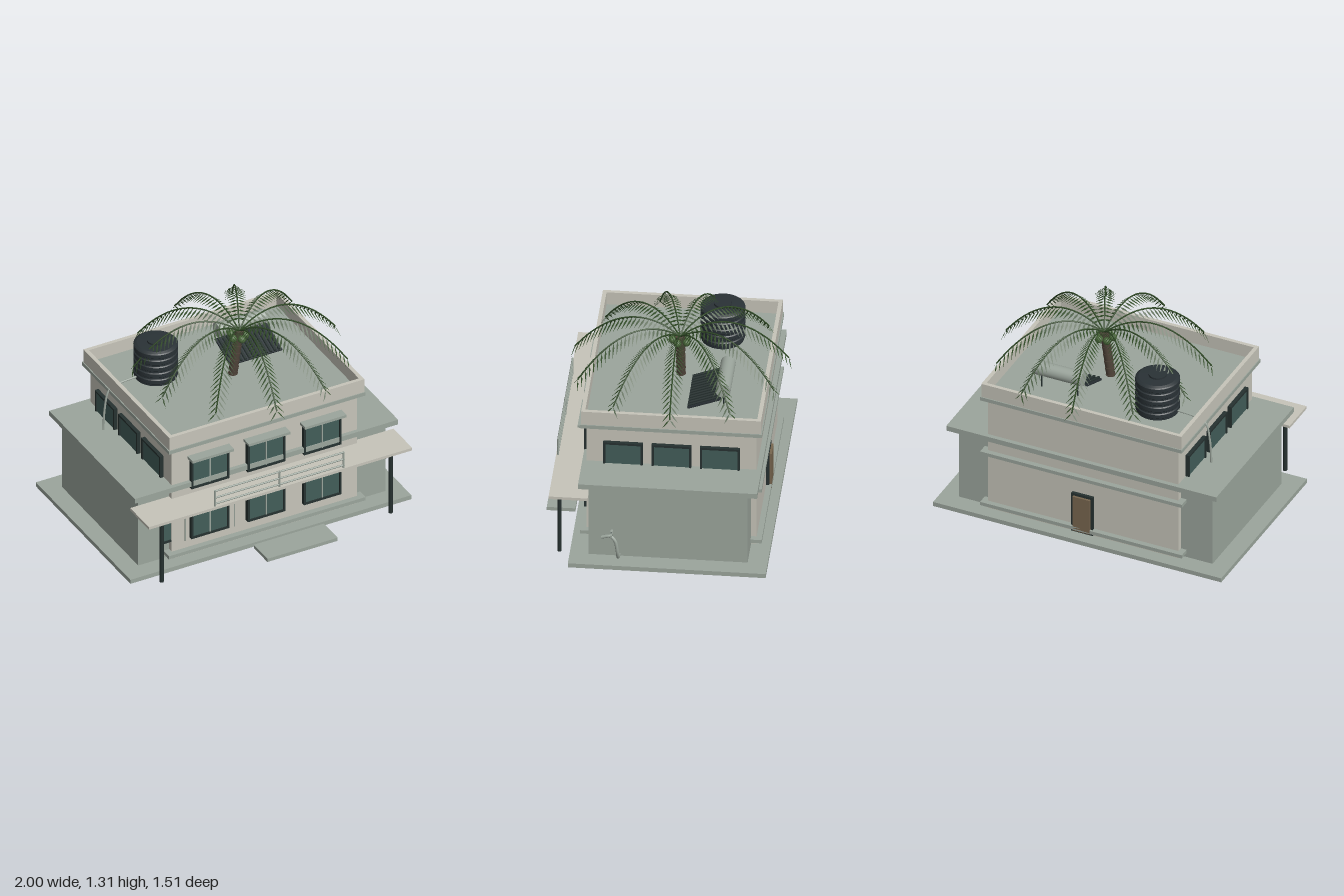
import * as THREE from 'three';

const flat = (name, color, side = THREE.FrontSide) => {
  const m = new THREE.MeshStandardMaterial({ color, side });
  m.name = name;
  return m;
};

export function createModel() {
  const root = new THREE.Group();
  root.name = 'house';
  const beige = flat('beige plaster', 0xc6c4b9);
  const grey = flat('grey concrete', 0x9ba59c);
  const dark = flat('dark frame', 0x263130);
  const glass = flat('teal glass', 0x425d59);
  const black = flat('black plastic', 0x2a3236);
  const bark = flat('bark', 0x50443a);
  const wood = flat('door wood', 0x78664f);
  const leaf = flat('palm leaf', 0x324d28, THREE.DoubleSide);
  const nut = flat('green coconut', 0x4c6b3c);

  const add = (name, geo, mat, parent = root) => {
    const m = new THREE.Mesh(geo, mat);
    m.name = name;
    parent.add(m);
    return m;
  };
  // Box from its extents
  const box = (name, mat, x0, x1, y0, y1, z0, z1, parent = root) => {
    const m = add(name, new THREE.BoxGeometry(x1 - x0, y1 - y0, z1 - z0), mat, parent);
    m.position.set((x0 + x1) / 2, (y0 + y1) / 2, (z0 + z1) / 2);
    return m;
  };
  const cyl = (name, mat, r0, r1, h, x, y, z, n = 24, parent = root) => {
    const m = add(name, new THREE.CylinderGeometry(r1, r0, h, n), mat, parent);
    m.position.set(x, y, z);
    return m;
  };
  const tube = (name, mat, pts, r) => add(name, new THREE.TubeGeometry(
    new THREE.CatmullRomCurve3(pts.map(p => new THREE.Vector3(...p)), false, 'catmullrom', 0.4), 32, r, 10), mat);

  // Ground slab and front step
  box('plinth', grey, -1, 1, 0.01, 0.04, -0.69, 0.555);
  box('frontStep', grey, -0.13, 0.37, 0.012, 0.036, 0.57, 0.75);

  // Walls and floor bands
  box('centralBlock', beige, -0.66, 0.66, 0.04, 0.865, -0.6, 0.47);
  for (const s of [-1, 1])
    box('sideWing', grey, s > 0 ? 0.65 : -0.88, s > 0 ? 0.88 : -0.65, 0.04, 0.565, -0.565, 0.436);
  box('wingRoof', grey, -0.937, 0.937, 0.56, 0.595, -0.63, 0.497);
  for (const y of [0.07, 0.45]) box('wallBand', grey, -0.7, 0.7, y, y + 0.024, -0.635, 0.508);
  box('roofBand', grey, -0.7, 0.7, 0.86, 0.885, -0.637, 0.508);
  box('roofFloor', grey, -0.68, 0.68, 0.88, 0.892, -0.62, 0.49);

  // Parapet ring
  const rect = (C, x, z0, z1) => {
    const s = new C();
    s.moveTo(-x, -z0); s.lineTo(-x, -z1); s.lineTo(x, -z1); s.lineTo(x, -z0); s.closePath();
    return s;
  };
  const ring = rect(THREE.Shape, 0.694, -0.63, 0.502);
  ring.holes.push(rect(THREE.Path, 0.668, -0.605, 0.477));
  const parapet = add('parapet', new THREE.ExtrudeGeometry(ring, { depth: 0.097, bevelEnabled: false }), beige);
  parapet.rotation.x = -Math.PI / 2;
  parapet.position.y = 0.884;

  // Window facing +z with its back on the group's origin plane
  const window_ = (w, h, mullion) => {
    const g = new THREE.Group();
    g.name = 'window';
    const x = w / 2, y = h / 2, f = 0.014, d = 0.03;
    box('glassPane', glass, -x + 0.01, x - 0.01, -y + 0.01, y - 0.01, 0, 0.022, g);
    for (const s of [-1, 1]) {
      const cx = s * (x - f / 2), cy = s * (y - f / 2);
      box('frameSide', dark, cx - f / 2, cx + f / 2, -y, y, 0, d, g);
      box('frameRail', dark, -x, x, cy - f / 2, cy + f / 2, 0, d, g);
    }
    if (mullion) box('mullion', grey, -0.004, 0.004, -y + f, y - f, 0, 0.027, g);
    root.add(g);
    return g;
  };
  // Front windows with canopies, on two floors
  for (const x of [-0.4, 0, 0.4]) for (const y of [0.272, 0.648]) {
    window_(0.268, 0.214, true).position.set(x, y, 0.47);
    box('canopy', grey, x - 0.148, x + 0.148, y + 0.114, y + 0.132, 0.46, 0.538);
  }
  // Side windows on the upper floor
  for (const s of [-1, 1]) for (const z of [0.24, -0.065, -0.37]) {
    const w = window_(0.25, 0.214, false);
    w.position.set(s * 0.655, 0.645, z);
    w.rotation.y = s * Math.PI / 2;
  }
  // Entrance pane on one wing and slim rods beside the first window
  window_(0.14, 0.245, false).position.set(-0.66, 0.288, 0.436);
  for (const x of [-0.58, -0.23]) cyl('slimRod', grey, 0.004, 0.004, 0.225, x, 0.28, 0.5, 8);

  // Back door
  box('doorFrame', dark, -0.075, 0.075, 0.05, 0.335, -0.62, -0.595);
  box('doorLeaf', wood, -0.06, 0.06, 0.065, 0.318, -0.635, -0.61);

  // Porch roof, posts and railing
  box('porchRoof', beige, -0.937, 0.937, 0.473, 0.492, 0.436, 0.682);
  for (const x of [-0.815, 0.815]) cyl('porchPost', dark, 0.0135, 0.0135, 0.465, x, 0.243, 0.625, 12);
  for (const x of [-0.46, 0, 0.455]) cyl('railPost', grey, 0.007, 0.007, 0.12, x, 0.55, 0.67, 8);
  for (const y of [0.51, 0.555, 0.605])
    cyl('handRail', grey, 0.006, 0.006, 0.925, -0.002, y, 0.67, 8).rotation.z = Math.PI / 2;

  // Ribbed water tank with lid
  const prof = [[0, 0.892], [0.135, 0.892]];
  for (let i = 0; i < 5; i++) {
    const y = 0.905 + i * 0.048;
    prof.push([0.135, y], [0.141, y + 0.006], [0.141, y + 0.03], [0.135, y + 0.036]);
  }
  prof.push([0.12, 1.141], [0.056, 1.145], [0.056, 1.157], [0, 1.157]);
  const tankPoints = [];
  prof.forEach(p => tankPoints.push(new THREE.Vector2(...p), new THREE.Vector2(...p)));
  add('waterTank', new THREE.LatheGeometry(tankPoints, 32), black).position.set(-0.365, 0, -0.285);
  tube('drainPipe', grey, [[-0.48, 0.92, -0.285], [-0.62, 0.91, -0.285], [-0.69, 0.885, -0.285],
    [-0.715, 0.84, -0.285], [-0.732, 0.72, -0.285], [-0.738, 0.592, -0.285]], 0.007);

  // Solar heater: tilted panel, glass tubes and a drum
  const heater = new THREE.Group();
  heater.name = 'solarHeater';
  heater.position.set(0.275, 0.94, -0.245);
  heater.rotation.x = 0.36;
  box('panel', black, -0.185, 0.185, -0.012, 0, -0.11, 0.11, heater);
  for (let i = 0; i < 12; i++)
    cyl('collectorTube', dark, 0.009, 0.009, 0.21, -0.165 + i * 0.03, 0.004, 0, 8, heater).rotation.x = Math.PI / 2;
  root.add(heater);
  cyl('heaterDrum', grey, 0.047, 0.047, 0.335, 0.278, 1.026, -0.367).rotation.z = Math.PI / 2;
  for (const x of [0.15, 0.4]) cyl('drumLeg', dark, 0.006, 0.006, 0.11, x, 0.94, -0.367, 8);

  // Garden tap on the right wall
  tube('tapPipe', grey, [[0.875, 0.05, 0.245], [0.93, 0.062, 0.245], [0.95, 0.11, 0.247],
    [0.952, 0.19, 0.26], [0.945, 0.225, 0.295], [0.942, 0.213, 0.35]], 0.011);
  cyl('tapStem', dark, 0.007, 0.007, 0.03, 0.94, 0.23, 0.287, 8);
  box('tapHandle', grey, 0.9, 0.975, 0.237, 0.245, 0.28, 0.294);

  // Leaning palm trunk in flared rings
  const trunkX = y => 0.01 + 0.07 * y * y, pz = -0.065, rings = 24;
  for (let i = 0; i < rings; i++) {
    const h = 1.2 / rings, y = i * h, r = 0.033 - 0.004 * i / rings;
    const m = cyl('trunkRing', bark, r - 0.003, r + 0.001, h, trunkX(y + h / 2), y + h / 2, pz, 12);
    m.rotation.z = i ? -Math.atan(0.14 * y) : 0;
  }
  const cx = trunkX(1.2);
  for (let i = 0; i < 5; i++) {
    const a = i * Math.PI * 2 / 5 + 0.3;
    add('coconut', new THREE.SphereGeometry(0.025, 12, 10), nut)
      .position.set(cx - 0.01 + 0.045 * Math.cos(a), 1.166, pz + 0.05 * Math.sin(a));
  }

  // One arched frond along +x, repeated around the crown
  const arch = t => new THREE.Vector3(0.68 * t, 0.54 * t - 0.72 * t * t, 0);
  const spine = new THREE.TubeGeometry(new THREE.CatmullRomCurve3(
    Array.from({ length: 9 }, (_, i) => arch(i / 8))), 20, 0.005, 5);
  const verts = [], pairs = 24;
  for (let i = 0; i < pairs; i++) {
    const t = 0.1 + 0.9 * i / (pairs - 1), p = arch(t);
    const dir = arch(t + 0.01).sub(arch(t - 0.01)).normalize();
    const len = 0.45 + 0.55 * Math.sin(Math.PI * Math.min(1, t * 0.85));
    for (const s of [-1, 1]) {
      const out = new THREE.Vector3(0, -0.055, s * 0.068).addScaledVector(dir, 0.035).multiplyScalar(len);
      const mid = p.clone().addScaledVector(out, 0.4), tip = p.clone().add(out);
      const a = mid.clone().addScaledVector(dir, 0.0075), b = mid.clone().addScaledVector(dir, -0.0075);
      for (const v of [p, a, b, a, tip, b]) verts.push(v.x, v.y, v.z);
    }
  }
  const leaflets = new THREE.BufferGeometry();
  leaflets.setAttribute('position', new THREE.Float32BufferAttribute(verts, 3));
  leaflets.computeVertexNormals();
  for (let i = 0; i < 11; i++) {
    const frond = new THREE.Group();
    frond.name = 'palmFrond';
    add('frondSpine', spine, leaf, frond);
    add('leaflets', leaflets, leaf, frond);
    frond.position.set(cx, 1.2, pz);
    frond.rotation.y = i * Math.PI * 2 / 11;
    root.add(frond);
  }
  return root;
}
